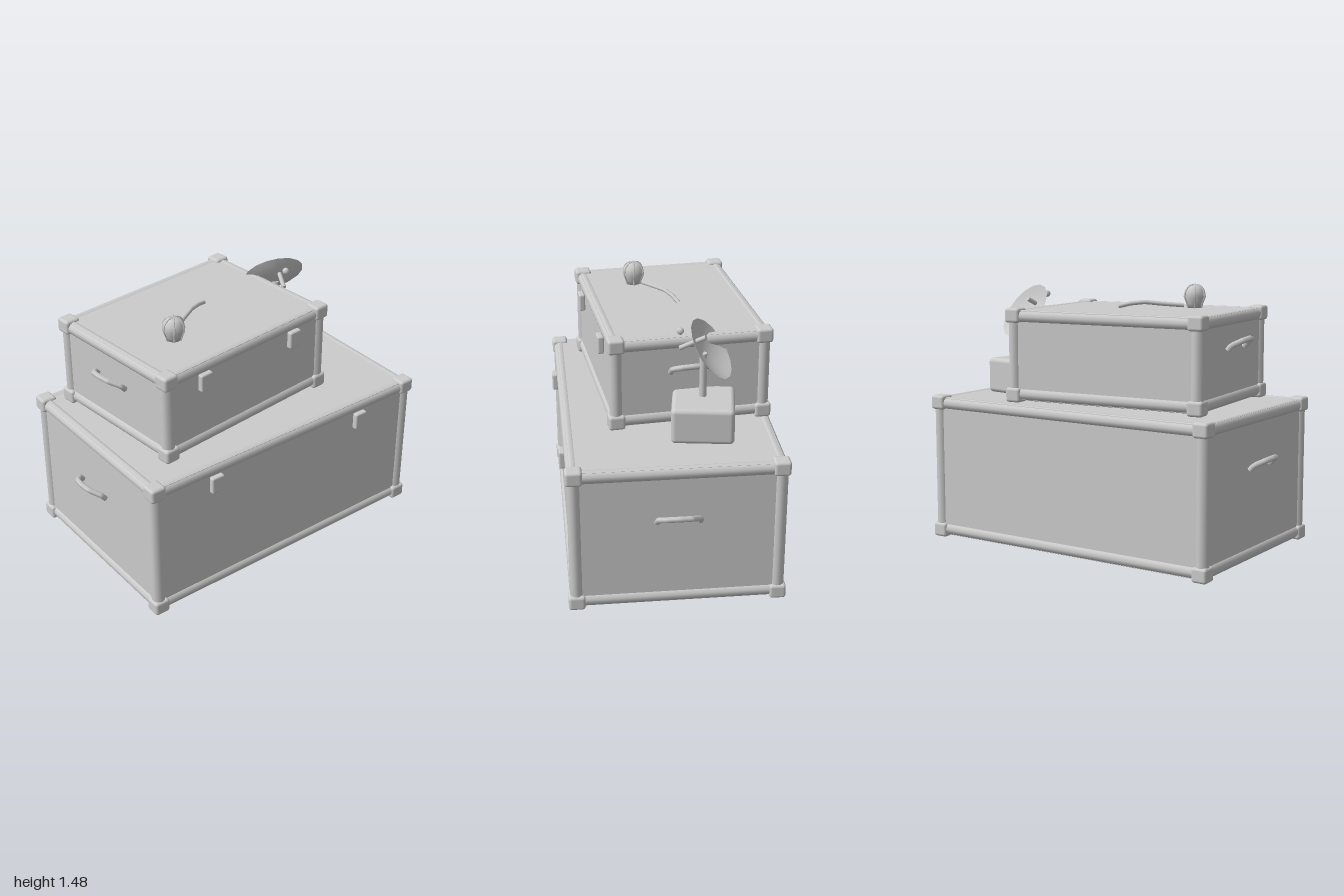
import * as THREE from 'three';
import { RoundedBoxGeometry } from 'three/addons/geometries/RoundedBoxGeometry.js';

const mat = new THREE.MeshStandardMaterial({ color: 0xcccccc });
const thinMat = new THREE.MeshStandardMaterial({ color: 0xcccccc, side: THREE.DoubleSide });
const V = (x, y, z) => new THREE.Vector3(x, y, z);
const SIGNS = [-1, 1];

function add(parent, name, geometry, pos = [0, 0, 0], material = mat) {
  const mesh = new THREE.Mesh(geometry, material);
  mesh.name = name;
  mesh.position.set(...pos);
  parent.add(mesh);
  return mesh;
}

// Round bar between two points
function rod(parent, name, a, b, r, sides = 10) {
  const dir = b.clone().sub(a);
  const mesh = add(parent, name, new THREE.CylinderGeometry(r, r, dir.length(), sides));
  mesh.position.copy(a).add(b).multiplyScalar(0.5);
  mesh.quaternion.setFromUnitVectors(V(0, 1, 0), dir.normalize());
  return mesh;
}

// Bent bar through straight segments
function bentBar(parent, name, points, r) {
  const path = new THREE.CurvePath();
  for (let i = 1; i < points.length; i++) path.add(new THREE.LineCurve3(points[i - 1], points[i]));
  return add(parent, name, new THREE.TubeGeometry(path, 24, r, 6), [0, 0, 0], thinMat);
}

// Flight case standing on its own y = 0; w, h, d are the outer sizes over the corners
function flightCase(name, w, h, d, opt) {
  const g = new THREE.Group();
  g.name = name;
  const r = 0.036, c = 0.09;
  const X = w / 2 - r - 0.008, Z = d / 2 - r - 0.008, Y0 = r + 0.01, Y1 = h - r - 0.01;
  add(g, 'caseBody', new THREE.BoxGeometry(w - 0.05, h - 0.03, d - 0.05), [0, h / 2, 0]);

  // Edge rails
  for (const s of SIGNS) {
    for (const y of [Y0, Y1]) {
      rod(g, 'longRail', V(-X, y, s * Z), V(X, y, s * Z), r);
      rod(g, 'sideRail', V(s * X, y, -Z), V(s * X, y, Z), r);
    }
    for (const t of SIGNS) rod(g, 'uprightRail', V(s * X, Y0, t * Z), V(s * X, Y1, t * Z), r);
  }

  // Corner protectors
  for (const sx of SIGNS) for (const sz of SIGNS) for (const y of [c * 0.45, h - c * 0.45]) {
    add(g, 'cornerProtector', new RoundedBoxGeometry(c, c * 0.9, c, 2, 0.016),
      [sx * (w - c) / 2, y, sz * (d - c) / 2]);
  }

  // Front latches and side handles
  for (const s of SIGNS) {
    add(g, 'latch', new RoundedBoxGeometry(0.08, 0.1, 0.035, 2, 0.01),
      [s * opt.latchX, opt.latchY, d / 2]);
    const handle = [[0, 0, -0.115], [0.02, 0.025, -0.11], [0.065, 0.05, -0.06], [0.075, 0.056, 0],
      [0.065, 0.05, 0.06], [0.02, 0.025, 0.11], [0, 0, 0.115]]
      .map(([x, y, z]) => V(s * (w / 2 - 0.005 + x), opt.handleY + y, z));
    bentBar(g, 'sideHandle', handle, 0.016);
  }
  return g;
}

function dishUnit() {
  const g = new THREE.Group();
  g.name = 'dishUnit';
  // Base box and mast
  const base = add(g, 'dishBase', new RoundedBoxGeometry(0.33, 0.2, 0.335, 3, 0.025), [0.52, 0.935, -0.18]);
  base.rotation.y = -0.15;
  rod(g, 'mast', V(0.495, 1.02, -0.18), V(0.495, 1.28, -0.18), 0.02);

  // Shallow bowl opening up and backwards
  const head = new THREE.Group();
  head.name = 'dishHead';
  head.position.set(0.51, 1.31, -0.22);
  head.quaternion.setFromUnitVectors(V(0, 1, 0), V(0.3, 0.58, -0.76).normalize());
  g.add(head);
  const profile = [];
  for (let i = 0; i <= 6; i++) profile.push(new THREE.Vector2(0.178 * i / 6, -0.055 + 0.055 * (i / 6) ** 2));
  add(head, 'dishBowl', new THREE.LatheGeometry(profile, 16), [0, 0, 0], thinMat);

  // Feed arm through the bowl, with a small knob beside it
  rod(g, 'feedArm', V(0.46, 1.3, -0.06), V(0.51, 1.375, -0.19), 0.013, 8);
  add(g, 'knob', new THREE.SphereGeometry(0.02, 8, 6), [0.47, 1.4, -0.06]);
  return g;
}

function ribbedBall() {
  const g = new THREE.Group();
  g.name = 'ribbedBall';
  g.position.set(-0.43, 1.345, 0.105);
  const profile = [[0, 0], [0.042, 0], [0.048, 0.025], [0.062, 0.06], [0.056, 0.095], [0.035, 0.12], [0, 0.128]]
    .map(p => new THREE.Vector2(...p));
  add(g, 'ballShell', new THREE.LatheGeometry(profile, 12));
  // Ribs running from the base to the crown
  for (let i = 0; i < 6; i++) {
    const a = i * Math.PI / 3;
    const pts = profile.slice(1).map(p => V(p.x * Math.cos(a), p.y, p.x * Math.sin(a)));
    add(g, 'rib', new THREE.TubeGeometry(new THREE.CatmullRomCurve3(pts), 10, 0.005, 5), [0, 0, 0], thinMat);
  }
  return g;
}

export function createModel() {
  const model = new THREE.Group();
  model.name = 'stackedCases';

  const large = flightCase('largeCase', 1.83, 0.83, 1.17, { latchX: 0.505, latchY: 0.71, handleY: 0.515 });
  large.position.z = -0.005;
  model.add(large);

  const small = flightCase('smallCase', 1.19, 0.52, 0.9, { latchX: 0.325, latchY: 0.405, handleY: 0.315 });
  small.position.set(-0.17, 0.832, -0.07);
  small.rotation.y = 0.1;
  model.add(small);

  model.add(dishUnit(), ribbedBall());

  // Arched stick lying on the upper lid
  bentBar(model, 'archedStick', [V(-0.39, 1.36, 0.055), V(-0.3, 1.367, 0), V(-0.2, 1.377, -0.055),
    V(-0.13, 1.368, -0.09), V(-0.07, 1.352, -0.115)], 0.012);
  return model;
}
